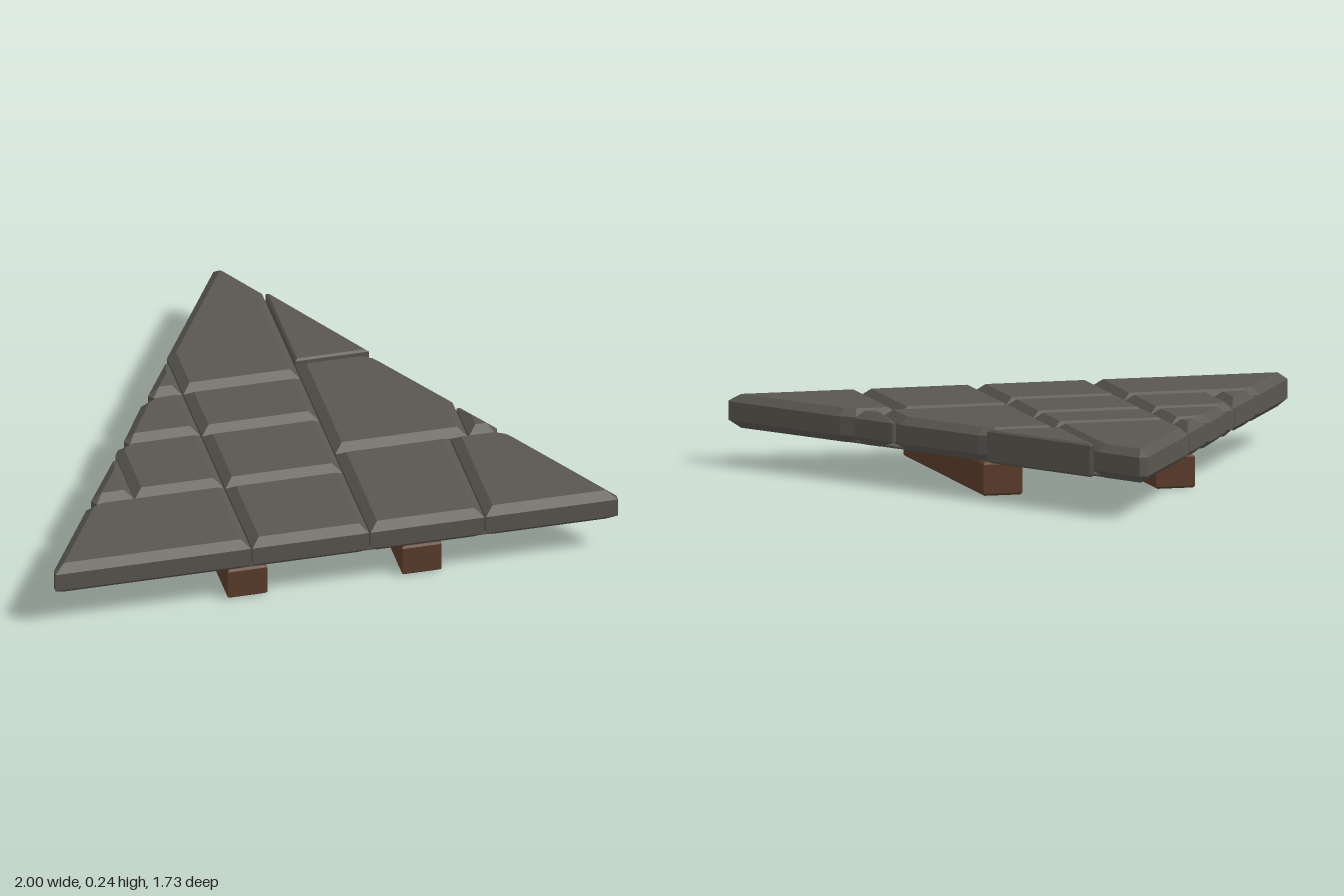
import * as THREE from 'three';
import { ConvexGeometry } from 'three/addons/geometries/ConvexGeometry.js';

// Shrink a convex outline of [x, z] points by clipping it against its own edges moved inwards.
function inset(outline, d) {
  const n = outline.length;
  const cx = outline.reduce((s, p) => s + p[0], 0) / n;
  const cz = outline.reduce((s, p) => s + p[1], 0) / n;
  let result = outline;
  outline.forEach((a, i) => {
    const b = outline[(i + 1) % n];
    const len = Math.hypot(b[0] - a[0], b[1] - a[1]);
    let nx = -(b[1] - a[1]) / len, nz = (b[0] - a[0]) / len;
    if ((cx - a[0]) * nx + (cz - a[1]) * nz < 0) { nx = -nx; nz = -nz; }
    const dist = (p) => (p[0] - a[0]) * nx + (p[1] - a[1]) * nz - d;
    const clipped = [];
    result.forEach((p, j) => {
      const q = result[(j + 1) % result.length];
      const dp = dist(p), dq = dist(q);
      if (dp >= 0) clipped.push(p);
      if (dp * dq < 0) {
        const t = dp / (dp - dq);
        clipped.push([p[0] + (q[0] - p[0]) * t, p[1] + (q[1] - p[1]) * t]);
      }
    });
    result = clipped;
  });
  return result;
}

// Convex slab with chamfered top and bottom edges.
function slab(outline, y0, y1, width, height = width) {
  const points = [];
  const ring = (shape, y) => shape.forEach(([x, z]) => points.push(new THREE.Vector3(x, y, z)));
  const inner = inset(outline, width);
  ring(inner, y0);
  ring(outline, y0 + height);
  ring(outline, y1 - height);
  ring(inner, y1);
  return new ConvexGeometry(points);
}

const rect = (x0, x1, z0, z1) => [[x0, z0], [x1, z0], [x1, z1], [x0, z1]];

export function createModel() {
  const group = new THREE.Group();
  const stone = new THREE.MeshStandardMaterial({ color: 0x5a5750 });
  stone.name = 'darkStone';
  const wood = new THREE.MeshStandardMaterial({ color: 0x5c3d2c });
  wood.name = 'brownWood';

  const add = (name, geometry, material) => {
    const mesh = new THREE.Mesh(geometry, material);
    mesh.name = name;
    group.add(mesh);
  };

  // Stone tiles, outlines in x and z
  const tiles = {
    apexTile: [[-0.015, -0.865], [0.015, -0.865], [0.115, -0.69], [0.115, -0.14], [-0.3, -0.14], [-0.3, -0.375]],
    middleTileBack: rect(-0.3, 0.115, -0.138, 0.132),
    middleTileCentre: rect(-0.3, 0.115, 0.134, 0.47),
    middleTileFront: rect(-0.3, 0.115, 0.472, 0.86),
    rightCornerTile: [[-1, 0.86], [-1, 0.835], [-0.8, 0.49], [-0.755, 0.465], [-0.305, 0.465], [-0.305, 0.86]],
    rightSliverFront: [[-0.635, 0.21], [-0.622, 0.21], [-0.622, 0.462], [-0.755, 0.462], [-0.77, 0.438]],
    rightTileCentre: [[-0.62, 0.18], [-0.605, 0.15], [-0.56, 0.126], [-0.305, 0.126], [-0.305, 0.462], [-0.62, 0.462]],
    rightTileBack: [[-0.57, 0.1], [-0.46, -0.1], [-0.41, -0.133], [-0.305, -0.138], [-0.305, 0.124], [-0.555, 0.124]],
    rightSliverBack: [[-0.42, -0.16], [-0.315, -0.34], [-0.305, -0.34], [-0.305, -0.14], [-0.405, -0.14]],
    leftTileLarge: [[0.12, -0.22], [0.35, -0.22], [0.4, -0.19], [0.59, 0.13], [0.59, 0.35], [0.12, 0.35]],
    leftSliver: [[0.595, 0.17], [0.607, 0.17], [0.7, 0.325], [0.685, 0.35], [0.595, 0.35]],
    leftTileFront: rect(0.12, 0.525, 0.354, 0.86),
    leftCornerTile: [[0.53, 0.354], [0.685, 0.354], [0.735, 0.383], [1, 0.835], [1, 0.86], [0.53, 0.86]],
  };
  for (const [name, outline] of Object.entries(tiles)) {
    add(name, slab(outline, 0.122, 0.24, 0.03, 0.026), stone);
  }

  // Sharper triangular tile near the apex
  add('leftTriangleTile', slab([[0.12, -0.66], [0.135, -0.655], [0.38, -0.225], [0.12, -0.225]], 0.122, 0.238, 0.007), stone);

  // Flat underside closing the seams
  add('underside', slab(inset([[0, -0.87], [1, 0.86], [-1, 0.86]], 0.035), 0.12, 0.128, 0.001), stone);

  // Two wooden support beams
  add('rightBeam', slab(rect(-0.38, -0.24, -0.18, 0.83), 0, 0.116, 0.007), wood);
  add('leftBeam', slab(rect(0.24, 0.38, -0.18, 0.83), 0, 0.116, 0.007), wood);

  return group;
}
